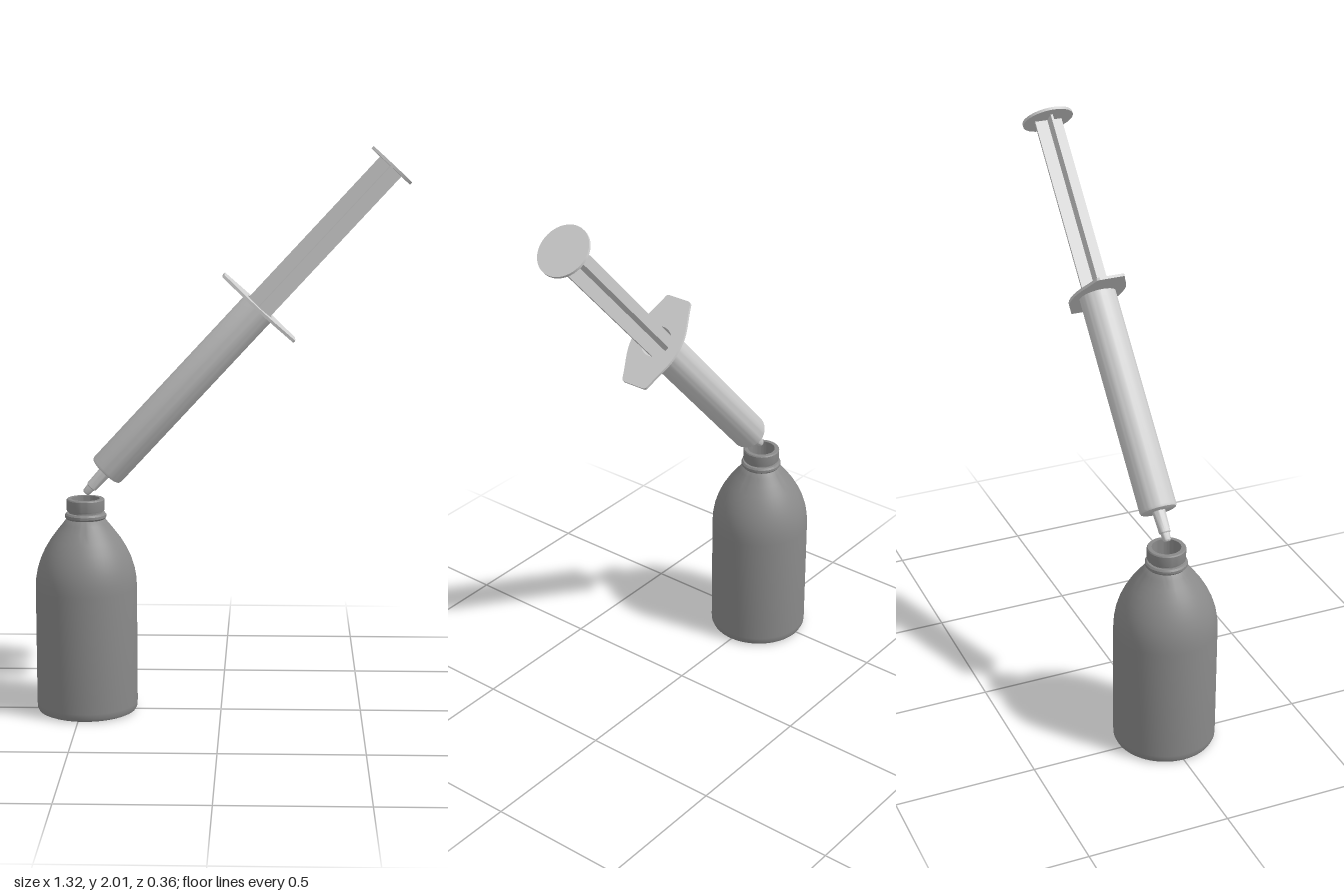
import * as THREE from 'three';
import { toCreasedNormals } from 'three/addons/utils/BufferGeometryUtils.js';

const clearPlastic = new THREE.MeshStandardMaterial({ name: 'light grey plastic', color: 0xcfcfcf });
const bottlePlastic = new THREE.MeshStandardMaterial({ name: 'dark grey plastic', color: 0x8a8a8a });

function part(name, geometry, material, parent) {
  const mesh = new THREE.Mesh(geometry, material);
  mesh.name = name;
  parent.add(mesh);
  return mesh;
}

// Profile of [radius, height] pairs, smooth except at sharp corners
function lathe(profile, segments = 48) {
  const points = profile.map(([r, y]) => new THREE.Vector2(r, y));
  return toCreasedNormals(new THREE.LatheGeometry(points, segments), 0.6);
}

function createBottle() {
  const bottle = new THREE.Group();
  bottle.name = 'bottle';

  // Shell with recessed base, rounded shoulder and hollow inside
  part('bottleBody', lathe([
    [0, 0.018], [0.122, 0.018], [0.135, 0.008], [0.148, 0.001], [0.165, 0],
    [0.174, 0.004], [0.179, 0.014], [0.18, 0.03], [0.18, 0.45],
    [0.178, 0.485], [0.172, 0.52], [0.161, 0.555], [0.145, 0.59],
    [0.124, 0.625], [0.1, 0.657], [0.08, 0.682], [0.068, 0.698],
    [0.06, 0.703], [0.06, 0.77], [0.05, 0.77], [0.05, 0.7],
    [0.09, 0.655], [0.135, 0.59], [0.162, 0.52], [0.17, 0.45], [0.17, 0.03], [0, 0.03],
  ], 64), bottlePlastic, bottle);

  // Tamper ring below the mouth
  part('neckRing', lathe([
    [0.058, 0.697], [0.068, 0.698], [0.073, 0.704], [0.073, 0.713], [0.068, 0.719], [0.058, 0.72],
  ]), bottlePlastic, bottle);

  // Raised lip round the mouth
  part('neckLip', lathe([
    [0.058, 0.727], [0.066, 0.727], [0.067, 0.731], [0.067, 0.766], [0.064, 0.77], [0.058, 0.77],
  ]), bottlePlastic, bottle);
  return bottle;
}

function createSyringe() {
  const syringe = new THREE.Group();
  syringe.name = 'syringe';

  // Hollow barrel, open at the flange
  part('barrel', lathe([
    [0, -0.793], [0.056, -0.793], [0.062, -0.79], [0.065, -0.782], [0.065, 0],
    [0.056, 0], [0.056, -0.78], [0, -0.78],
  ]), clearPlastic, syringe);

  // Stepped nozzle
  part('nozzle', lathe([
    [0, -0.9], [0.01, -0.9], [0.014, -0.895], [0.016, -0.872], [0.02, -0.868], [0.023, -0.79],
  ], 24), clearPlastic, syringe);

  // Finger flange with straight ends, bulging sides and a round hole
  const outline = new THREE.Shape();
  outline.moveTo(0.168, -0.04);
  outline.lineTo(0.168, 0.04);
  outline.quadraticCurveTo(0.168, 0.05, 0.158, 0.053);
  outline.bezierCurveTo(0.09, 0.075, 0.065, 0.096, 0, 0.096);
  outline.bezierCurveTo(-0.065, 0.096, -0.09, 0.075, -0.158, 0.053);
  outline.quadraticCurveTo(-0.168, 0.05, -0.168, 0.04);
  outline.lineTo(-0.168, -0.04);
  outline.quadraticCurveTo(-0.168, -0.05, -0.158, -0.053);
  outline.bezierCurveTo(-0.09, -0.075, -0.065, -0.096, 0, -0.096);
  outline.bezierCurveTo(0.065, -0.096, 0.09, -0.075, 0.158, -0.053);
  outline.quadraticCurveTo(0.168, -0.05, 0.168, -0.04);
  outline.holes.push(new THREE.Path().absarc(0, 0, 0.056, 0, Math.PI * 2, true));
  const flange = new THREE.ExtrudeGeometry(outline, { depth: 0.01, bevelEnabled: false, curveSegments: 16 });
  flange.rotateX(-Math.PI / 2).translate(0, -0.005, 0);
  part('fingerFlange', toCreasedNormals(flange, 0.6), clearPlastic, syringe);

  // Plunger: crossed blades, thumb disc and stopper
  const plunger = new THREE.Group();
  plunger.name = 'plunger';
  syringe.add(plunger);
  for (const turn of [0, Math.PI / 2]) {
    const blade = part('plungerBlade', new THREE.BoxGeometry(0.1, 0.77, 0.008), clearPlastic, plunger);
    blade.position.y = 0.28;
    blade.rotation.y = turn;
  }
  part('thumbDisc', new THREE.CylinderGeometry(0.091, 0.091, 0.01, 48), clearPlastic, plunger)
    .position.y = 0.668;
  part('stopper', new THREE.CylinderGeometry(0.055, 0.055, 0.05, 32), clearPlastic, plunger)
    .position.y = -0.12;
  return syringe;
}

export function createModel() {
  const model = new THREE.Group();
  model.name = 'syringeAndBottle';

  const bottle = createBottle();
  bottle.position.x = -0.48;
  model.add(bottle);

  // Syringe leans over the bottle, nozzle above the mouth
  const syringe = createSyringe();
  syringe.position.set(0.132, 1.45, 0.003);
  syringe.rotation.z = -0.747;
  model.add(syringe);
  return model;
}
